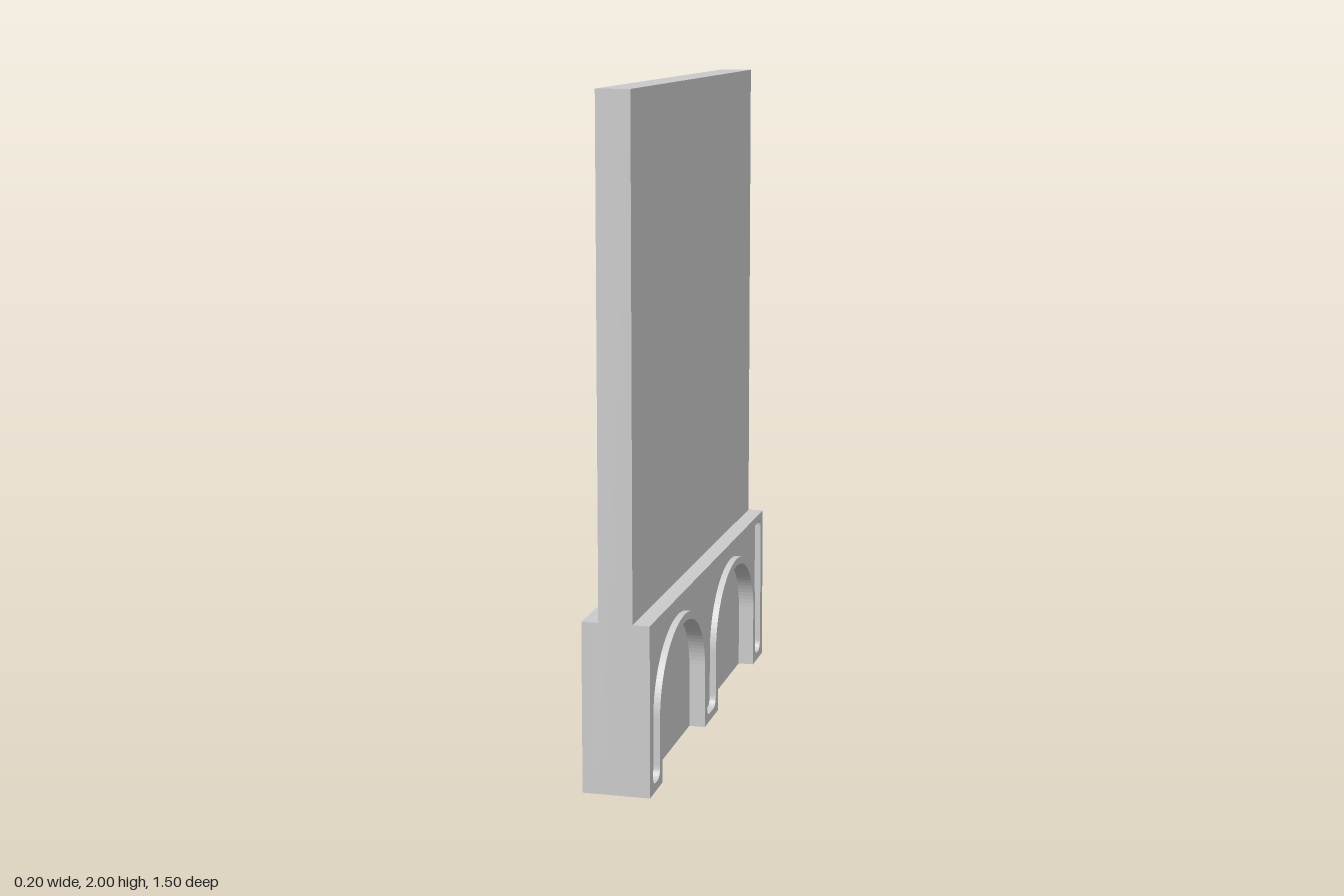
import * as THREE from 'three';

const HALF = 0.75;            // half length along z
const WALL = 0.05;            // half thickness of the wall
const PLINTH = 0.1;           // half thickness of the plinth
const PLINTH_TOP = 0.506;
const RECESS = 0.02;          // depth of the sunk panel
const ARCH = { c: 0.348, spring: 0.2, r: 0.26, rise: 0.208 };
const RIM = { r: 0.289, rise: 0.232 };
const PANEL = { half: 0.718, bottom: 0.025, top: 0.482, corner: 0.025, foot: 0.035 };

// Front outline of the plinth with two arched openings
function plinthShape() {
  const s = new THREE.Shape();
  s.moveTo(-HALF, PLINTH_TOP);
  s.lineTo(-HALF, 0);
  for (const c of [-ARCH.c, ARCH.c]) {
    s.lineTo(c - ARCH.r, 0);
    s.lineTo(c - ARCH.r, ARCH.spring);
    s.absellipse(c, ARCH.spring, ARCH.r, ARCH.rise, Math.PI, 0, true);
    s.lineTo(c + ARCH.r, 0);
  }
  s.lineTo(HALF, 0);
  s.lineTo(HALF, PLINTH_TOP);
  s.closePath();
  return s;
}

// Sunk panel running around both arches, with rounded feet and corners
function panelPath() {
  const p = new THREE.Path();
  const { half, bottom, top, corner, foot } = PANEL;
  const c = ARCH.c;
  const legs = [[-half, -c - RIM.r], [-c + RIM.r, c - RIM.r], [c + RIM.r, half]];
  p.moveTo(-half, top - corner);
  legs.forEach(([a, b], i) => {
    p.lineTo(a, bottom + foot);
    p.quadraticCurveTo(a, bottom, a + foot, bottom);
    p.lineTo(b - foot, bottom);
    p.quadraticCurveTo(b, bottom, b, bottom + foot);
    if (i < 2) {
      p.lineTo(b, ARCH.spring);
      p.absellipse(b + RIM.r, ARCH.spring, RIM.r, RIM.rise, Math.PI, 0, true);
    }
  });
  p.lineTo(half, top - corner);
  p.quadraticCurveTo(half, top, half - corner, top);
  p.lineTo(-half + corner, top);
  p.quadraticCurveTo(-half, top, -half, top - corner);
  return p;
}

function extrude(shape, depth, start) {
  const g = new THREE.ExtrudeGeometry(shape, { depth, bevelEnabled: false, curveSegments: 24 });
  return g.translate(0, 0, start);
}

export function createModel() {
  const model = new THREE.Group();
  const material = new THREE.MeshStandardMaterial({ color: 0xcccccc });
  const add = (parent, name, geometry) => {
    const mesh = new THREE.Mesh(geometry, material);
    mesh.name = name;
    parent.add(mesh);
    return mesh;
  };

  // Plain wall slab over the full height
  add(model, 'wall', new THREE.BoxGeometry(WALL * 2, 2, HALF * 2).translate(0, 1, 0));

  // Arcaded plinth on both faces: a backing layer and a raised frame
  const backing = extrude(plinthShape(), PLINTH - RECESS - WALL, WALL);
  const frameShape = plinthShape();
  frameShape.holes.push(panelPath());
  const frame = extrude(frameShape, RECESS, PLINTH - RECESS);
  for (const side of [1, -1]) {
    const plinth = new THREE.Group();
    plinth.name = side > 0 ? 'leftPlinth' : 'rightPlinth';
    plinth.rotation.y = side * Math.PI / 2;
    add(plinth, 'panelBacking', backing);
    add(plinth, 'panelFrame', frame);
    model.add(plinth);
  }
  return model;
}
